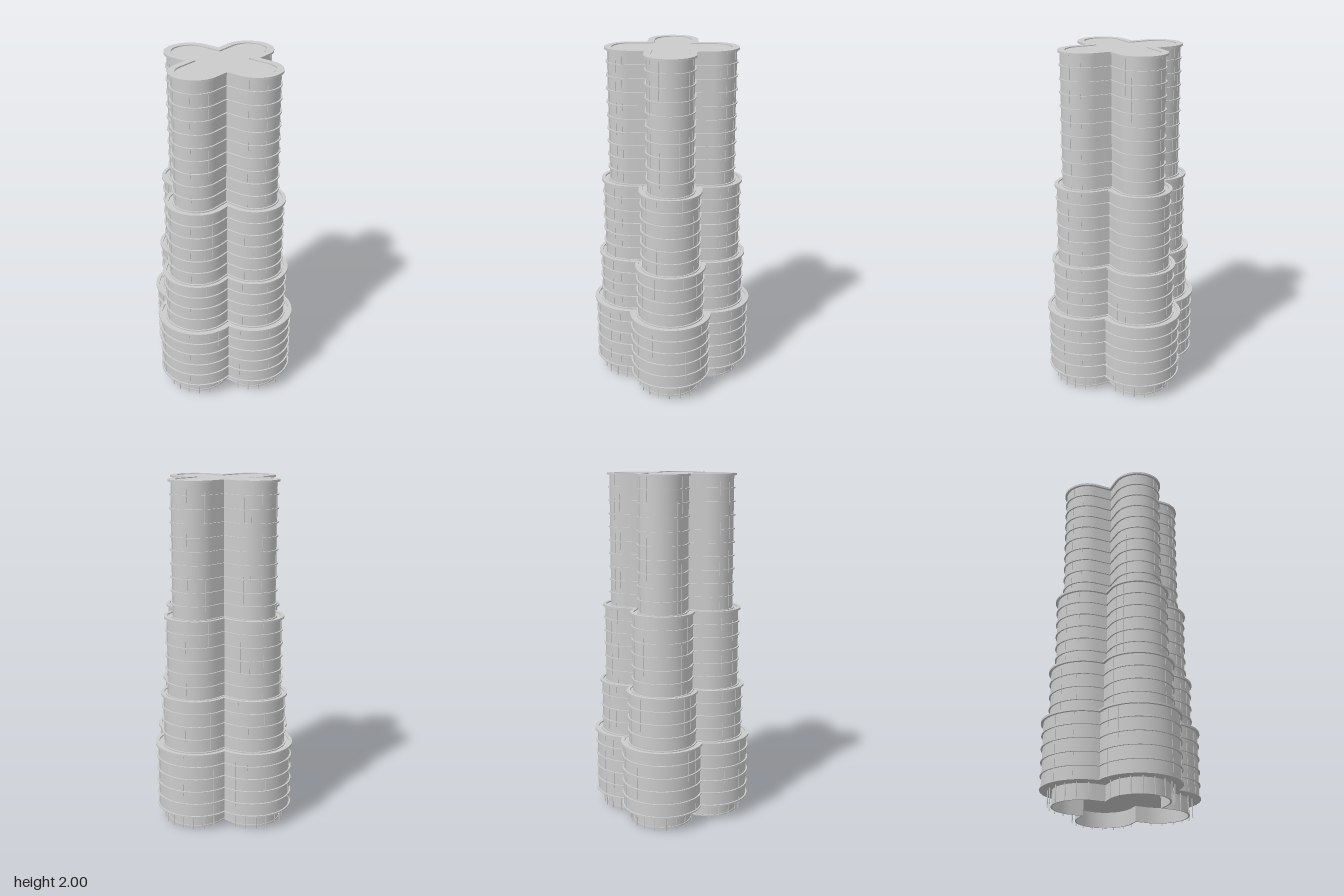
import * as THREE from 'three';
import { mergeGeometries, toCreasedNormals } from 'three/addons/utils/BufferGeometryUtils.js';

const ARM = 0.23; // distance from the axis to the centre of each rounded arm end
const material = new THREE.MeshStandardMaterial({ color: 0xcccccc, side: THREE.DoubleSide });

// Cross-shaped outline with round arm ends of radius r
function outline(r, segments = 24) {
  const d = r <= ARM ? r : (ARM + Math.sqrt(2 * r * r - ARM * ARM)) / 2;
  const end = r <= ARM ? Math.PI / 2 : Math.atan2(d, d - ARM);
  const points = [];
  for (let k = 0; k < 4; k++) {
    const arm = [];
    for (let i = 0; i <= segments; i++) {
      const a = -end + (2 * end * i) / segments;
      arm.push(new THREE.Vector2(ARM + r * Math.cos(a), r * Math.sin(a)));
    }
    if (r < ARM - 1e-4) arm.push(new THREE.Vector2(d, d));
    else arm.pop();
    const turn = (k * Math.PI) / 2;
    arm.forEach((p) => points.push(p.rotateAround(new THREE.Vector2(), turn)));
  }
  return points;
}

// Upright prism of the outline between two heights, with an optional inner opening
function prism(r, bottom, top, inner = 0) {
  const shape = new THREE.Shape(outline(r));
  if (inner) shape.holes.push(new THREE.Path(outline(inner).reverse()));
  const g = new THREE.ExtrudeGeometry(shape, { depth: top - bottom, bevelEnabled: false });
  g.rotateX(-Math.PI / 2).translate(0, bottom, 0);
  return toCreasedNormals(g, 0.5);
}

// Copies of an upright bar placed round the four arm ends
function barsAround(make, r, y, angles) {
  const parts = [];
  for (let k = 0; k < 4; k++) {
    for (const a of angles) {
      const g = make();
      g.rotateY(-a).translate(ARM + r * Math.cos(a), y, r * Math.sin(a));
      parts.push(g.rotateY((k * Math.PI) / 2));
    }
  }
  return mergeGeometries(parts);
}

export function createModel() {
  const model = new THREE.Group();
  const add = (parent, name, geometry) => {
    const mesh = new THREE.Mesh(geometry, material);
    mesh.name = name;
    parent.add(mesh);
  };

  // Open ground floor with thin columns outside its wall
  const ground = new THREE.Group();
  ground.name = 'groundFloor';
  model.add(ground);
  add(ground, 'groundWall', prism(0.165, 0.006, 0.1, 0.16));
  add(ground, 'groundSill', prism(0.169, 0.006, 0.014, 0.16));
  const columnAngles = Array.from({ length: 9 }, (_, i) => (i - 4) * 0.34);
  add(ground, 'columns', barsAround(
    () => new THREE.CylinderGeometry(0.003, 0.003, 0.095, 8), 0.187, 0.0475, columnAngles));

  // Four stepped tiers: wall radius, bottom, top, number of floors
  const tiers = [
    [0.225, 0.095, 0.483, 5],
    [0.19, 0.475, 0.787, 4],
    [0.165, 0.779, 1.241, 6],
    [0.13, 1.233, 2.0, 10],
  ];
  const mullionAngles = [-1.25, -0.95, -0.45, 0.45, 0.95, 1.25];
  tiers.forEach(([r, bottom, top, floors], t) => {
    const tier = new THREE.Group();
    tier.name = `tier${t + 1}`;
    model.add(tier);
    const roof = top - 0.008;
    add(tier, 'wall', prism(r, bottom, roof));

    // Floor slabs standing out as thin lips
    const slabs = [];
    for (let i = 0; i < floors; i++) {
      const y = bottom + ((roof - bottom) * i) / floors;
      slabs.push(prism(r + 0.009, y, y + 0.007, r - 0.004));
    }
    add(tier, 'floorSlabs', mergeGeometries(slabs));

    // Terrace rim, wider at the very top around the sunken roof
    const last = t === tiers.length - 1;
    add(tier, 'rim', prism(r + 0.014, top - 0.012, top, last ? 0.105 : r - 0.006));

    // Window mullions
    const h = roof - bottom;
    add(tier, 'mullions', barsAround(
      () => new THREE.BoxGeometry(0.004, h, 0.004), r, bottom + h / 2, mullionAngles));
  });

  // Flat roof panel inside the top rim
  add(model, 'roofPanel', prism(0.099, 1.985, 1.996));
  return model;
}
